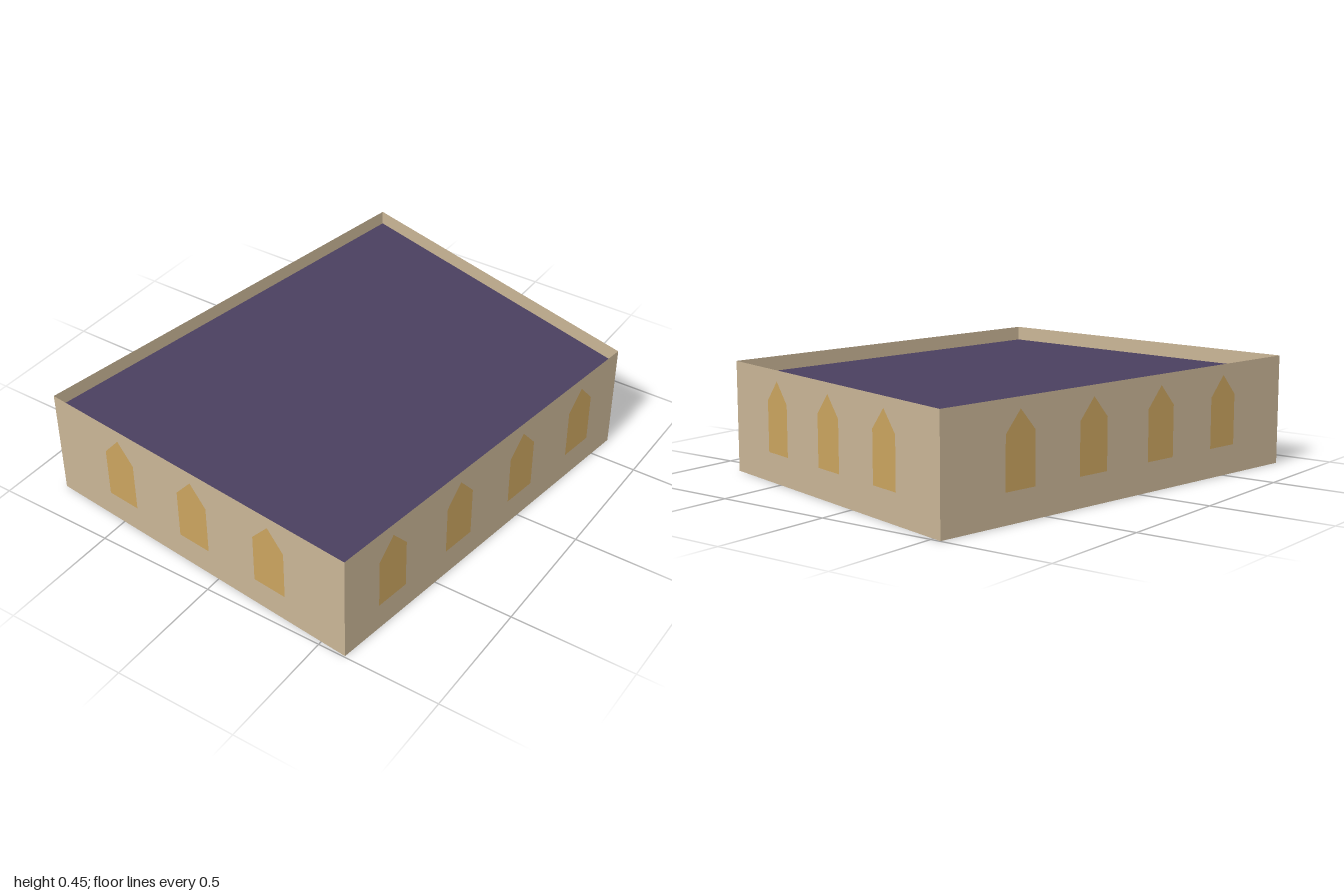
import * as THREE from 'three';

const WALL_HEIGHT = 0.45;
const ROOF_HEIGHT = 0.39;
const WINDOW_SPACING = 0.375;

// Footprint corners [x, z], anticlockwise seen from above, with windows per wall
const walls = [
  { name: 'frontWall', from: [-0.83, 0.85], windows: 3 },
  { name: 'leftWall', from: [0.61, 0.995], windows: 4 },
  { name: 'backWall', from: [0.825, -0.615], windows: 3 },
  { name: 'rightWall', from: [-0.54, -0.998], windows: 4 },
];

function polygon(points) {
  return new THREE.ShapeGeometry(new THREE.Shape(points.map(([x, y]) => new THREE.Vector2(x, y))));
}

export function createModel() {
  const stone = new THREE.MeshStandardMaterial({ name: 'sandstone', color: 0xc9b596, side: THREE.DoubleSide });
  const glass = new THREE.MeshStandardMaterial({ name: 'amber window', color: 0xcaa45f });
  const slate = new THREE.MeshStandardMaterial({ name: 'purple roof', color: 0x4a3f5f, side: THREE.DoubleSide });

  const model = new THREE.Group();
  model.name = 'hall';

  // Pointed window outline, centred on x = 0
  const windowGeometry = polygon([[-0.073, 0.12], [0.073, 0.12], [0.073, 0.325], [0, 0.408], [-0.073, 0.325]]);

  walls.forEach(({ name, from, windows }, i) => {
    const to = walls[(i + 1) % walls.length].from;
    const dx = to[0] - from[0];
    const dz = to[1] - from[1];

    // Each side is built facing +z, then turned onto its footprint edge
    const side = new THREE.Group();
    side.name = name;
    side.position.set((from[0] + to[0]) / 2, 0, (from[1] + to[1]) / 2);
    side.rotation.y = Math.atan2(-dz, dx);

    const wall = new THREE.Mesh(new THREE.PlaneGeometry(Math.hypot(dx, dz), WALL_HEIGHT), stone);
    wall.name = 'wall';
    wall.position.y = WALL_HEIGHT / 2;
    side.add(wall);

    // Evenly spaced windows just outside the wall
    for (let k = 0; k < windows; k++) {
      const pane = new THREE.Mesh(windowGeometry, glass);
      pane.name = 'window';
      pane.position.set((k - (windows - 1) / 2) * WINDOW_SPACING, 0, 0.005);
      side.add(pane);
    }
    model.add(side);
  });

  // Flat roof set below the parapet
  const roof = new THREE.Mesh(polygon(walls.map(({ from: [x, z] }) => [x, -z])), slate);
  roof.name = 'roof';
  roof.rotation.x = -Math.PI / 2;
  roof.position.y = ROOF_HEIGHT;
  model.add(roof);

  return model;
}
